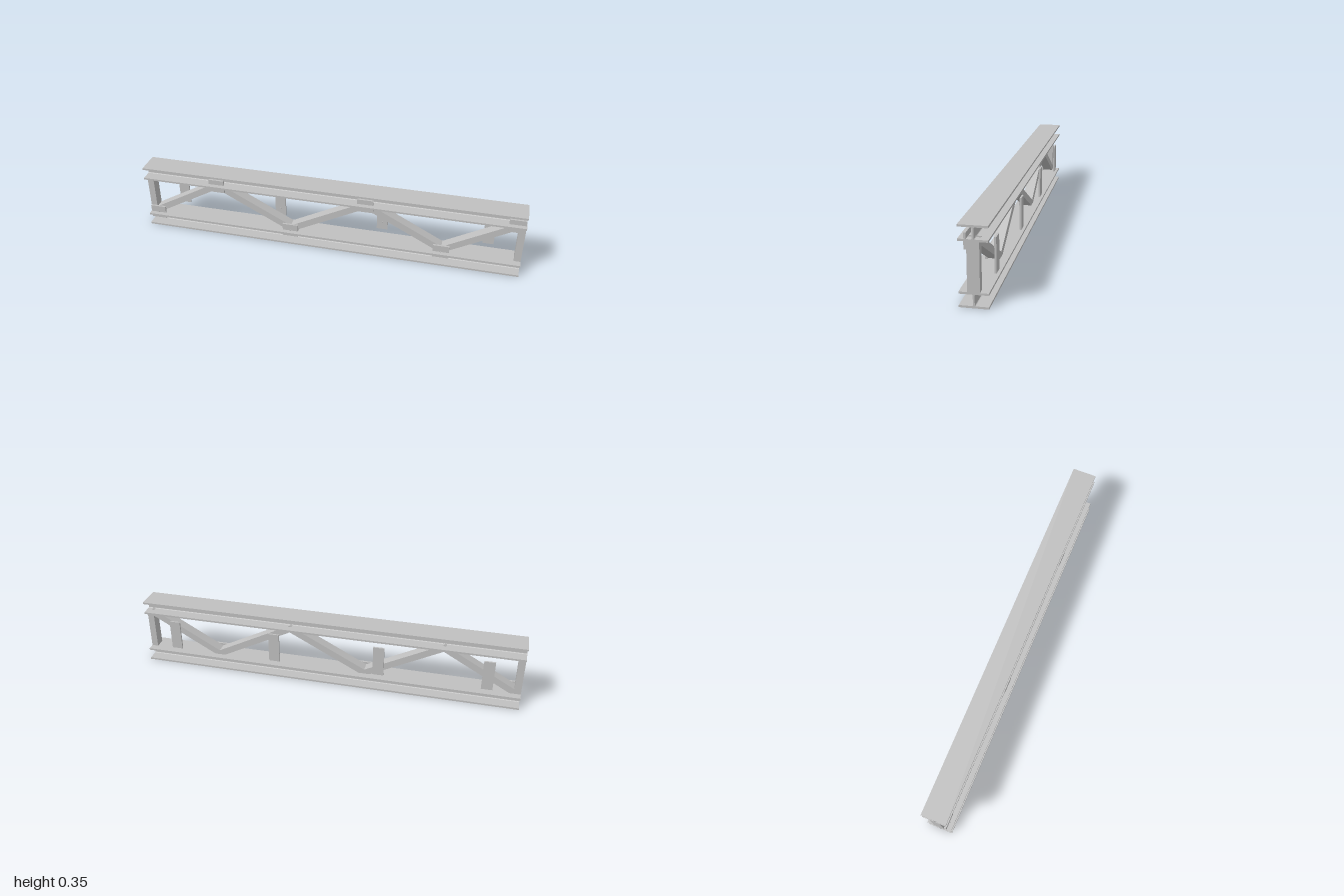
import * as THREE from 'three';

const steel = new THREE.MeshStandardMaterial({ color: 0xc0c0c0 });
steel.name = 'light grey steel';

function add(parent, name, geometry, x = 0, y = 0, z = 0) {
  const mesh = new THREE.Mesh(geometry, steel);
  mesh.name = name;
  mesh.position.set(x, y, z);
  parent.add(mesh);
  return mesh;
}

// I-section with small fillets between web and flanges, extruded along x
function beamGeometry() {
  const w = 0.063, h = 0.069, t = 0.0095, web = 0.004, r = 0.005;
  const s = new THREE.Shape();
  s.moveTo(-w, 0);
  s.lineTo(w, 0);
  s.lineTo(w, t);
  s.lineTo(web + r, t);
  s.quadraticCurveTo(web, t, web, t + r);
  s.lineTo(web, h - t - r);
  s.quadraticCurveTo(web, h - t, web + r, h - t);
  s.lineTo(w, h - t);
  s.lineTo(w, h);
  s.lineTo(-w, h);
  s.lineTo(-w, h - t);
  s.lineTo(-web - r, h - t);
  s.quadraticCurveTo(-web, h - t, -web, h - t - r);
  s.lineTo(-web, t + r);
  s.quadraticCurveTo(-web, t, -web - r, t);
  s.lineTo(-w, t);
  s.closePath();
  return new THREE.ExtrudeGeometry(s, { depth: 2, bevelEnabled: false, curveSegments: 4 })
    .translate(0, 0, -1).rotateY(Math.PI / 2);
}

// Mitred zigzag bar running between the two chords
function lacingGeometry() {
  const v = 0.0197, low = 0.0735, high = 0.2815;
  const xs = [-0.97, -0.6, -0.2, 0.2, 0.6, 0.97];
  const line = xs.map((x, i) => [x, i % 2 ? high : low]);
  const points = [
    ...line.map(([x, y]) => new THREE.Vector2(x, y - v)),
    ...line.slice().reverse().map(([x, y]) => new THREE.Vector2(x, y + v)),
  ];
  return new THREE.ExtrudeGeometry(new THREE.Shape(points), { depth: 0.053, bevelEnabled: false })
    .translate(0, 0, -0.0265);
}

export function createModel() {
  const model = new THREE.Group();
  model.name = 'trussGirder';

  // Chords
  const beam = beamGeometry();
  add(model, 'lowerBeam', beam);
  add(model, 'upperBeam', beam, 0, 0.2855, 0);

  // End posts and diagonal lacing
  const post = new THREE.BoxGeometry(0.034, 0.217, 0.053);
  add(model, 'rightEndPost', post, -0.983, 0.1775, 0);
  add(model, 'leftEndPost', post, 0.983, 0.1775, 0);
  add(model, 'diagonalLacing', lacingGeometry());

  // Gusset plates with a bolt at each front node
  const gusset = new THREE.BoxGeometry(0.083, 0.0715, 0.0105);
  const bolt = new THREE.CylinderGeometry(0.003, 0.003, 0.0035, 12).rotateX(Math.PI / 2);
  [-0.956, -0.6, -0.2, 0.2, 0.6, 0.956].forEach((x, i) => {
    const node = new THREE.Group();
    node.name = 'gussetNode';
    node.position.set(x, i % 2 ? 0.2855 : 0.0695, 0);
    add(node, 'gussetPlate', gusset, 0, 0, 0.0333);
    add(node, 'gussetBolt', bolt, 0, i % 2 ? -0.002 : 0.002, 0.0402);
    model.add(node);
  });

  // Rear mounting plates, each with two bolts on the inner face
  const plate = new THREE.BoxGeometry(0.057, 0.161, 0.0086);
  for (const x of [-0.83, -0.278, 0.278, 0.83]) {
    const mount = new THREE.Group();
    mount.name = 'rearMount';
    mount.position.x = x;
    add(mount, 'rearPlate', plate, 0, 0.177, -0.0583);
    for (const y of [0.14, 0.2165]) add(mount, 'rearBolt', bolt, 0, y, -0.0525);
    model.add(mount);
  }
  return model;
}
